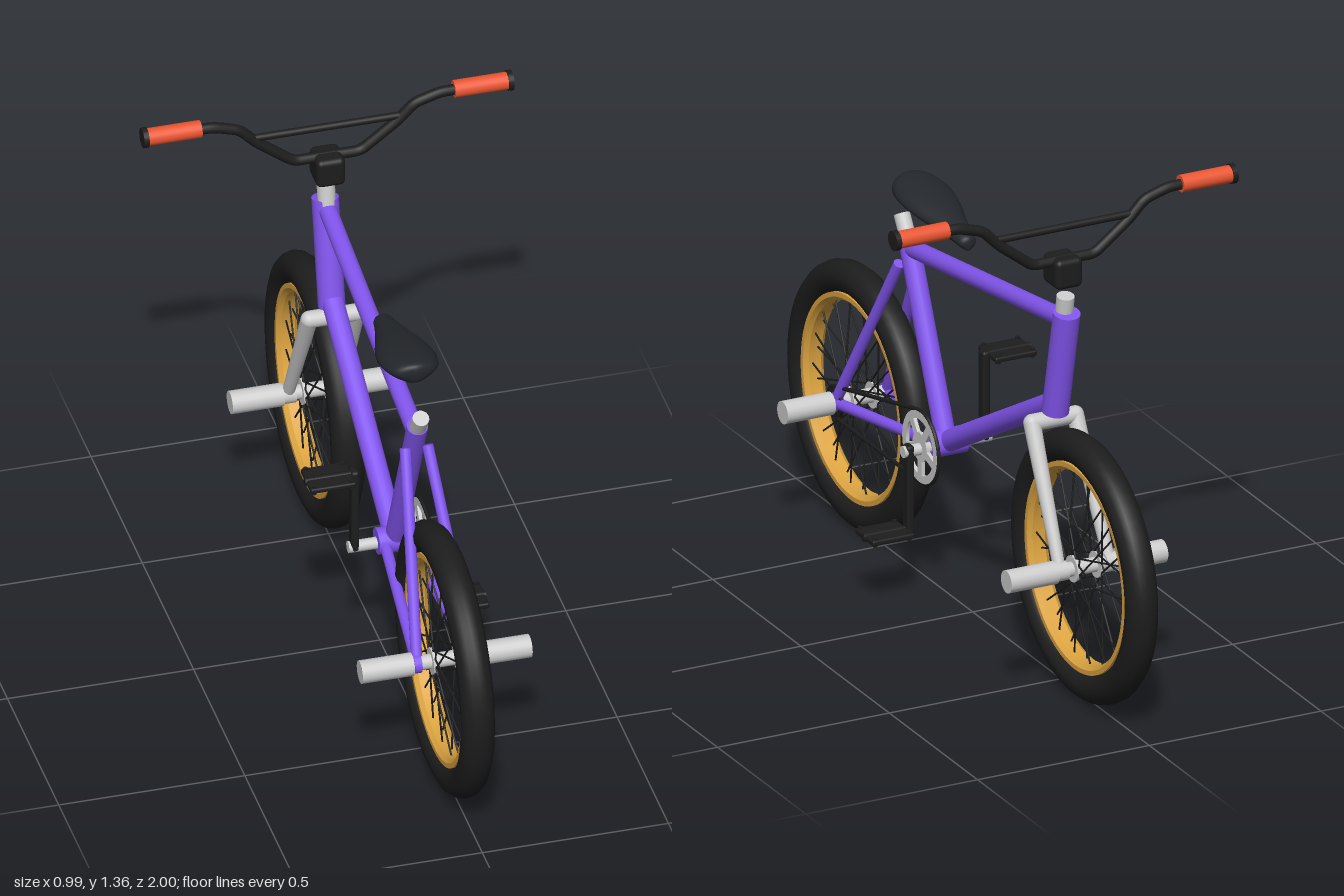
import * as THREE from 'three';
import { mergeGeometries, toCreasedNormals } from 'three/addons/utils/BufferGeometryUtils.js';
import { RoundedBoxGeometry } from 'three/addons/geometries/RoundedBoxGeometry.js';

const paint = (color) => new THREE.MeshStandardMaterial({ color });
const V = (x, y, z) => new THREE.Vector3(x, y, z);

// Straight cylinder between two points
function rodGeometry(a, b, r1, r2 = r1, sides = 20) {
  const d = b.clone().sub(a);
  const g = new THREE.CylinderGeometry(r2, r1, d.length(), sides);
  g.applyQuaternion(new THREE.Quaternion().setFromUnitVectors(V(0, 1, 0), d.normalize()));
  const m = a.clone().add(b).multiplyScalar(0.5);
  return g.translate(m.x, m.y, m.z);
}

export function createModel() {
  const purple = paint(0x8255ee), black = paint(0x1d1d1e), grey = paint(0xcccccc);
  const gold = paint(0xdca440), orange = paint(0xea5632), leather = paint(0x24272b);
  const model = new THREE.Group();
  model.name = 'bicycle';

  const add = (name, geometry, material, parent = model) => {
    const mesh = new THREE.Mesh(geometry, material);
    mesh.name = name;
    parent.add(mesh);
    return mesh;
  };
  const rod = (name, a, b, material, r1, r2, parent) => add(name, rodGeometry(a, b, r1, r2), material, parent);

  const axleY = 0.37, axleZ = 0.634;
  const bb = V(0, 0.426, 0.15);

  // Wheels: tyre, rim, hub and crossed spokes, with a peg on each side
  const rimProfile = [[0.283, -0.03], [0.283, 0.03], [0.27, 0.03], [0.26, 0.018], [0.26, -0.018], [0.27, -0.03], [0.283, -0.03]]
    .map(([r, y]) => new THREE.Vector2(r, y));
  function makeWheel(name) {
    const wheel = new THREE.Group();
    wheel.name = name;
    add('tyre', new THREE.TorusGeometry(0.3215, 0.0445, 14, 64).rotateY(Math.PI / 2), black, wheel);
    add('rim', toCreasedNormals(new THREE.LatheGeometry(rimProfile, 64).rotateZ(Math.PI / 2), 0.6), gold, wheel);
    rod('hub', V(-0.09, 0, 0), V(0.09, 0, 0), grey, 0.02, 0.02, wheel);
    const spokes = [];
    for (let i = 0; i < 36; i++) {
      const side = i % 2 ? 1 : -1;
      const a = (i / 36) * Math.PI * 2;
      const h = a + (i % 4 < 2 ? 1.2 : -1.2);
      spokes.push(rodGeometry(V(side * 0.034, Math.cos(h) * 0.031, Math.sin(h) * 0.031),
        V(side * 0.006, Math.cos(a) * 0.265, Math.sin(a) * 0.265), 0.0026, 0.0026, 5));
    }
    add('spokes', mergeGeometries(spokes), black, wheel);
    for (const s of [-1, 1]) {
      rod('hubFlange', V(s * 0.03, 0, 0), V(s * 0.038, 0, 0), grey, 0.036, 0.036, wheel);
      rod('peg', V(s * 0.088, 0, 0), V(s * 0.228, 0, 0), grey, 0.031, 0.031, wheel);
    }
    model.add(wheel);
    return wheel;
  }
  makeWheel('rearWheel').position.set(0, axleY, axleZ);
  makeWheel('frontWheel').position.set(0, axleY, -axleZ);

  // Frame
  rod('seatTube', bb, V(0, 0.925, 0.367), purple, 0.028);
  rod('seatPost', V(0, 0.9, 0.356), V(0, 0.973, 0.402), grey, 0.022);
  rod('topTube', V(0, 0.896, 0.355), V(0, 1.022, -0.515), purple, 0.024);
  rod('headTube', V(0, 0.745, -0.468), V(0, 1.045, -0.533), purple, 0.036);
  rod('downTube', bb, V(0, 0.775, -0.475), purple, 0.029);
  rod('bottomBracket', V(-0.05, bb.y, bb.z), V(0.05, bb.y, bb.z), purple, 0.036);
  for (const s of [-1, 1]) {
    rod('seatStay', V(s * 0.03, 0.855, 0.358), V(s * 0.075, axleY, axleZ), purple, 0.015);
    rod('chainStay', V(s * 0.03, bb.y, bb.z), V(s * 0.075, axleY, axleZ), purple, 0.015);
    rod('dropout', V(s * 0.066, axleY, axleZ), V(s * 0.086, axleY, axleZ), purple, 0.026);
  }

  // Fork: crown bar with two tapered legs, and the steerer above the head tube
  const crown = V(0.063, 0.72, -0.458);
  rod('forkCrown', V(-crown.x, crown.y, crown.z), crown, grey, 0.023);
  for (const s of [-1, 1]) {
    const top = V(s * crown.x, crown.y, crown.z);
    add('forkShoulder', new THREE.SphereGeometry(0.023, 20, 14).translate(top.x, top.y, top.z), grey);
    rod('forkLeg', top, V(s * 0.072, axleY, -axleZ), grey, 0.023, 0.016);
    rod('forkEnd', V(s * 0.055, axleY, -axleZ), V(s * 0.09, axleY, -axleZ), grey, 0.026);
  }
  rod('steerer', V(0, 0.74, -0.466), V(0, 1.09, -0.526), grey, 0.024);

  // Stem and handlebar
  const barZ = -0.514;
  add('stem', new RoundedBoxGeometry(0.078, 0.083, 0.088, 3, 0.015).translate(0, 1.159, -0.51), black);
  const half = [[0.09, 1.188], [0.19, 1.265], [0.235, 1.312], [0.305, 1.333], [0.49, 1.335]];
  const barPoints = [...half.slice().reverse().map(([x, y]) => V(-x, y, barZ)), ...half.map(([x, y]) => V(x, y, barZ))];
  const bar = new THREE.CurvePath();
  // Straight runs joined by short rounded bends
  let from = barPoints[0];
  for (let i = 1; i < barPoints.length - 1; i++) {
    const p = barPoints[i];
    const toward = (q) => p.clone().add(q.clone().sub(p).setLength(0.018));
    const a = toward(barPoints[i - 1]), b = toward(barPoints[i + 1]);
    bar.add(new THREE.LineCurve3(from, a));
    bar.add(new THREE.QuadraticBezierCurve3(a, p, b));
    from = b;
  }
  bar.add(new THREE.LineCurve3(from, barPoints[barPoints.length - 1]));
  add('handlebar', new THREE.TubeGeometry(bar, 160, 0.0145, 14), black);
  rod('crossbar', V(-0.2, 1.279, barZ), V(0.2, 1.279, barZ), black, 0.01);
  for (const s of [-1, 1]) {
    rod('grip', V(s * 0.34, 1.335, barZ), V(s * 0.484, 1.335, barZ), orange, 0.0235);
    rod('gripEnd', V(s * 0.483, 1.335, barZ), V(s * 0.497, 1.335, barZ), black, 0.027);
  }

  // Saddle: turned teardrop, flattened and tilted nose-down
  const outline = new THREE.SplineCurve([[0, 0.016], [0.023, 0.026], [0.033, 0.07], [0.048, 0.13], [0.068, 0.2],
    [0.077, 0.27], [0.066, 0.33], [0.042, 0.357], [0, 0.367]].map(([r, z]) => new THREE.Vector2(r, z)));
  const profile = outline.getPoints(40).map((p) => new THREE.Vector2(Math.max(p.x, 0.00001), p.y));
  const saddle = new THREE.LatheGeometry(profile, 32).rotateX(Math.PI / 2);
  const pos = saddle.attributes.position;
  for (let i = 0; i < pos.count; i++) {
    const x = pos.getX(i), y = pos.getY(i), z = pos.getZ(i);
    const w = Math.hypot(x, y), up = y / w;
    pos.setX(i, x * (1 + 0.35 * Math.min(0, up)));
    pos.setY(i, 1.029 + (z - 0.016) * 0.16 + up * 0.135 * Math.sqrt(w));
  }
  saddle.computeVertexNormals();
  add('saddle', saddle, leather);

  // Chainring with five windows
  const ringX = 0.073;
  const disc = new THREE.Shape().absarc(0, 0, 0.098, 0, Math.PI * 2);
  for (let i = 0; i < 5; i++) {
    const a = (i / 5) * Math.PI * 2 + Math.PI / 2;
    const hole = new THREE.Path();
    hole.absarc(0, 0, 0.077, a - 0.48, a + 0.48, false);
    hole.absarc(0, 0, 0.04, a + 0.34, a - 0.34, true);
    hole.closePath();
    disc.holes.push(hole);
  }
  const ring = new THREE.ExtrudeGeometry(disc, { depth: 0.01, bevelEnabled: false, curveSegments: 32 });
  add('chainring', ring.translate(0, 0, -0.005).rotateY(Math.PI / 2).translate(ringX, bb.y, bb.z), grey);
  rod('rearCog', V(ringX - 0.005, axleY, axleZ), V(ringX + 0.005, axleY, axleZ), black, 0.04);

  // Chain loop around chainring and cog
  const loop = [];
  const arc = (cy, cz, r, a0, a1) => {
    for (let i = 0; i <= 16; i++) {
      const a = a0 + ((a1 - a0) * i) / 16;
      loop.push(V(ringX, cy + Math.sin(a) * r, cz + Math.cos(a) * r));
    }
  };
  const lean = Math.atan2(axleY - bb.y, axleZ - bb.z), spread = Math.acos((0.1 - 0.043) / Math.hypot(axleY - bb.y, axleZ - bb.z));
  arc(bb.y, bb.z, 0.1, lean + spread, lean + Math.PI * 2 - spread);
  arc(axleY, axleZ, 0.043, lean - spread, lean + spread);
  const chain = new THREE.CurvePath();
  loop.forEach((p, i) => chain.add(new THREE.LineCurve3(p, loop[(i + 1) % loop.length])));
  add('chain', new THREE.TubeGeometry(chain, 200, 0.0055, 6, true), black);

  // Cranks and pedals, one up and one down
  rod('crankAxle', V(-0.127, bb.y - 0.005, bb.z), V(0.127, bb.y - 0.005, bb.z), grey, 0.016);
  for (const s of [-1, 1]) {
    const y = bb.y - s * 0.223, x = s * 0.11;
    const crank = new THREE.Group();
    crank.name = s > 0 ? 'leftCrank' : 'rightCrank';
    add('crankArm', new RoundedBoxGeometry(0.022, 0.25, 0.034, 2, 0.008).translate(x, (bb.y + y) / 2, bb.z), black, crank);
    rod('pedalAxle', V(x, y, bb.z), V(s * 0.243, y, bb.z), black, 0.011, 0.011, crank);
    add('pedal', new RoundedBoxGeometry(0.122, 0.015, 0.104, 2, 0.005).translate(s * 0.179, y, bb.z), black, crank);
    for (const e of [-1, 1]) for (const f of [-1, 1]) {
      const px = s * 0.179 + e * 0.05, pz = bb.z + f * 0.042;
      rod('pedalPin', V(px, y - 0.013, pz), V(px, y + 0.013, pz), black, 0.006, 0.006, crank);
    }
    model.add(crank);
  }
  return model;
}
